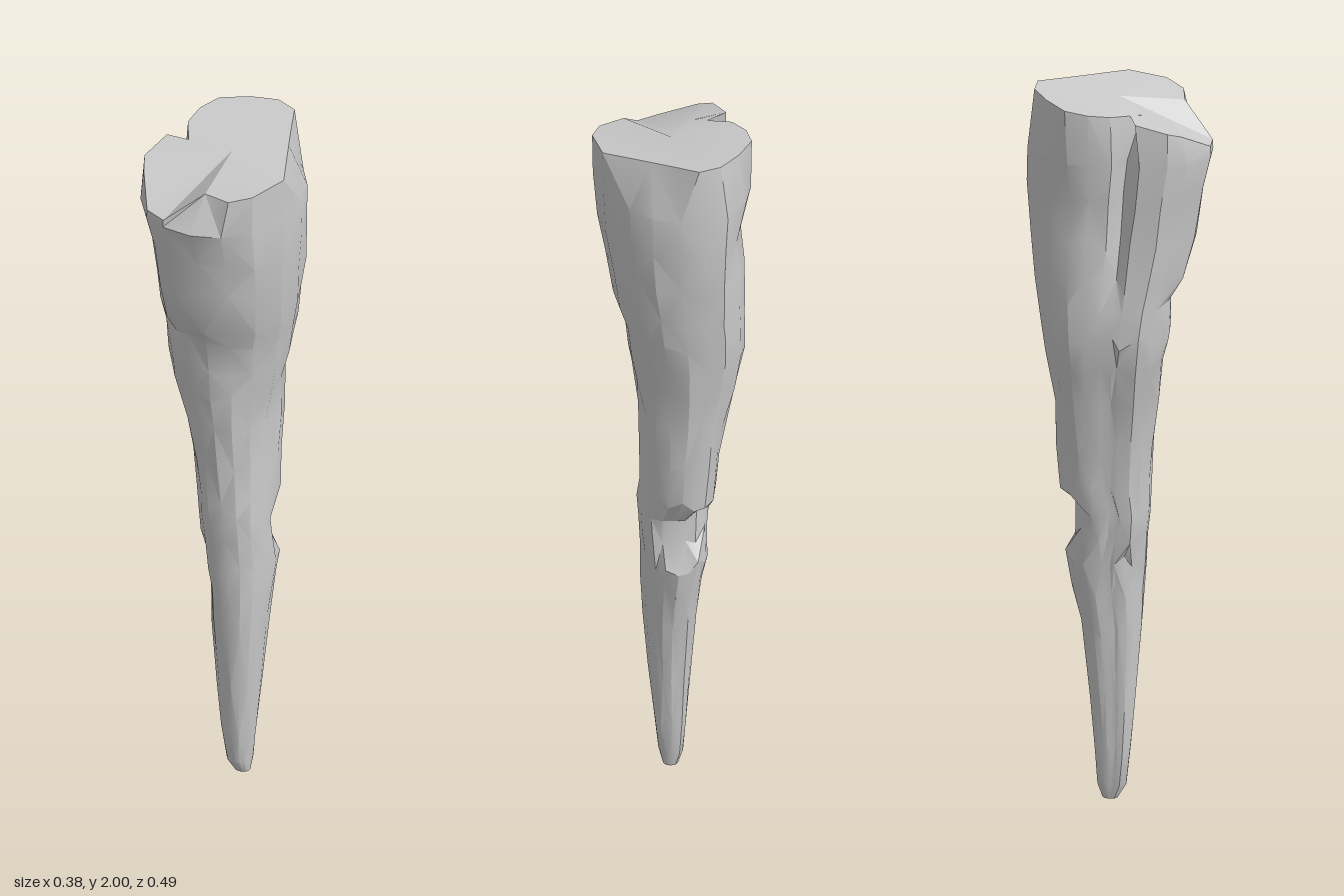
import * as THREE from 'three';
import { toCreasedNormals } from 'three/addons/utils/BufferGeometryUtils.js';

// Widest outline [x, z], running from +x towards +z; entry 9 is the crevice
const OUTLINE = [
  [0.19, 0.02], [0.17, 0.12], [0.12, 0.19], [0.05, 0.235], [-0.03, 0.25], [-0.09, 0.245],
  [-0.16, 0.185], [-0.192, 0.13], [-0.19, 0.055], [-0.182, 0.03], [-0.178, -0.02], [-0.18, -0.08],
  [-0.165, -0.14], [-0.12, -0.2], [-0.04, -0.25], [0.02, -0.237], [0.08, -0.215], [0.14, -0.16], [0.175, -0.09],
];
const CREVICE = 9;

// Rim of the broken top, one point for each outline column
const RIM = [
  [0.192, 0.02], [0.17, 0.12], [0.125, 0.165], [0.05, 0.17], [-0.03, 0.245], [-0.09, 0.24],
  [-0.165, 0.165], [-0.192, 0.13], [-0.187, 0.045], [-0.1, 0.06], [-0.17, -0.02], [-0.18, -0.08],
  [-0.165, -0.14], [-0.1, -0.19], [-0.03, -0.222], [0.03, -0.215], [0.07, -0.155], [0.11, -0.097], [0.15, -0.04],
];

// Body sections: y, xMin, xMax, zMin, zMax
const SECTIONS = [
  [0.00, -0.005, 0.035, -0.045, -0.005],
  [0.04, -0.018, 0.042, -0.058, 0.018],
  [0.14, -0.03, 0.052, -0.064, 0.03],
  [0.30, -0.04, 0.068, -0.078, 0.044],
  [0.48, -0.05, 0.082, -0.102, 0.06],
  [0.60, -0.057, 0.09, -0.127, 0.066],
  [0.68, -0.07, 0.093, -0.143, 0.07],
  [0.76, -0.08, 0.095, -0.117, 0.075],
  [0.83, -0.086, 0.095, -0.115, 0.08],
  [0.89, -0.09, 0.092, -0.155, 0.084],
  [1.02, -0.102, 0.093, -0.165, 0.092],
  [1.14, -0.125, 0.1, -0.18, 0.106],
  [1.25, -0.15, 0.113, -0.193, 0.118],
  [1.34, -0.172, 0.128, -0.205, 0.135],
  [1.42, -0.17, 0.14, -0.214, 0.152],
  [1.50, -0.168, 0.155, -0.222, 0.17],
  [1.61, -0.17, 0.172, -0.23, 0.2],
  [1.73, -0.178, 0.187, -0.238, 0.225],
  [1.84, -0.193, 0.19, -0.24, 0.246],
];

// Chips: direction in degrees (0 = +x, 90 = +z), y, angular reach, height reach, depth
const CHIPS = [
  [65, 1.73, 22, 0.07, 0.1], [55, 1.38, 38, 0.08, 0.14], [110, 1.4, 25, 0.07, 0.1],
  [318, 1.24, 26, 0.08, 0.13], [295, 0.8, 35, 0.09, 0.14], [135, 0.66, 28, 0.08, 0.12],
  [225, 1.73, 28, 0.08, 0.09], [250, 1.12, 26, 0.1, 0.1], [20, 1.15, 24, 0.08, 0.1],
];

function seeded(seed) {
  return () => {
    seed = (seed * 16807) % 2147483647;
    return seed / 2147483647 * 2 - 1;
  };
}

const topHeight = (x, z) =>
  1.972 - 0.125 * z - 0.45 * Math.max(0, z - 0.15) - 0.15 * Math.max(0, z) * (x < 0 ? 1 : 0);

function chipScale(degrees, y) {
  let scale = 1;
  for (const [dir, cy, reach, height, depth] of CHIPS) {
    const turn = Math.abs(((degrees - dir + 540) % 360) - 180) / reach;
    const d = Math.hypot(turn, (y - cy) / height);
    if (d < 1) scale -= depth * (1 - d * d);
  }
  return scale;
}

function createSpikeGeometry() {
  const rand = seeded(4711);
  const n = OUTLINE.length;
  const positions = [];
  const index = [];

  // Tapering body
  SECTIONS.forEach(([y, x0, x1, z0, z1], r) => {
    const gap = r > 1 && r < SECTIONS.length - 1 ? 0.022 : 0;
    const cut = THREE.MathUtils.smoothstep(y, 1.32, 1.84);
    OUTLINE.forEach(([ox, oz], i) => {
      const degrees = (Math.atan2(oz, ox) * 180 / Math.PI + 360) % 360;
      let s = chipScale(degrees, y) * (1 + (gap ? 0.025 * rand() : 0));
      if (i === CREVICE) s *= 1 - 0.3 * cut;
      if (i > 15) s *= 1 - 0.04 * cut;
      positions.push(
        (x0 + x1) / 2 + ox / 0.192 * (x1 - x0) / 2 * s,
        y + gap * rand(),
        (z0 + z1) / 2 + oz / 0.25 * (z1 - z0) / 2 * s,
      );
    });
  });

  // Sloping broken rim
  for (const [x, z] of RIM) positions.push(x, topHeight(x, z), z);

  for (let r = 0; r < SECTIONS.length; r++) {
    for (let i = 0; i < n; i++) {
      const j = (i + 1) % n;
      const a = r * n + i, b = r * n + j, c = a + n, d = b + n;
      if ((r + i) % 2) index.push(a, c, b, b, c, d);
      else index.push(a, c, d, a, d, b);
    }
  }

  // Top face and blunt tip
  const top = positions.length / 3;
  positions.push(0, 1.97, 0, 0.015, 0, -0.025);
  const rim = SECTIONS.length * n;
  for (let i = 0; i < n; i++) {
    const j = (i + 1) % n;
    index.push(top, rim + j, rim + i, top + 1, i, j);
  }

  const geometry = new THREE.BufferGeometry();
  geometry.setAttribute('position', new THREE.Float32BufferAttribute(positions, 3));
  geometry.setIndex(index);
  return toCreasedNormals(geometry, THREE.MathUtils.degToRad(24));
}

export function createModel() {
  const group = new THREE.Group();
  group.name = 'rockSpike';
  const spike = new THREE.Mesh(
    createSpikeGeometry(),
    new THREE.MeshStandardMaterial({ color: 0xcccccc }),
  );
  spike.name = 'spikeBody';
  group.add(spike);
  return group;
}
